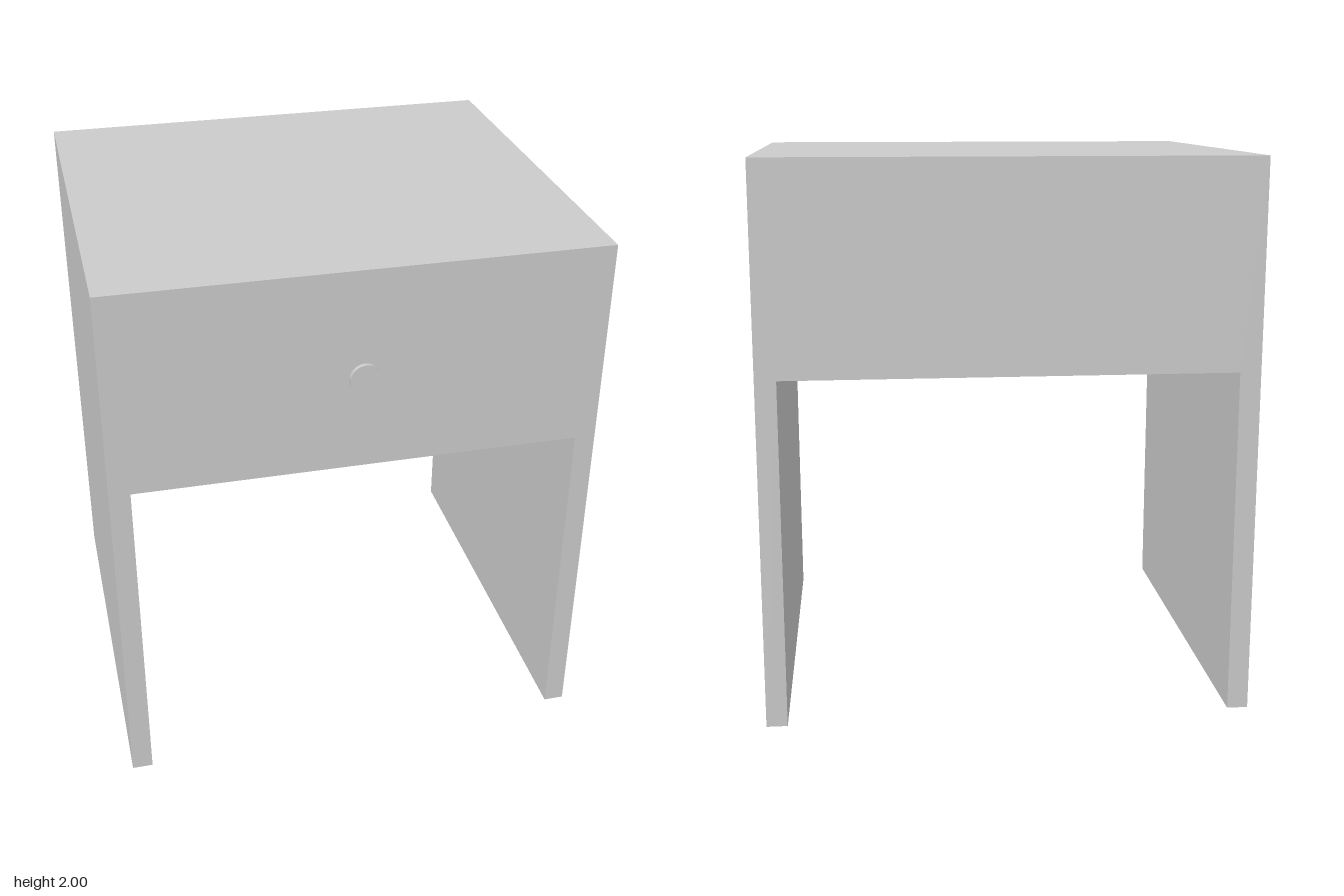
import * as THREE from 'three';

const material = new THREE.MeshStandardMaterial({ color: 0xcccccc });

// Cylinder lying along z, from z0 to z1
function rod(name, radius, z0, z1, y) {
  const geometry = new THREE.CylinderGeometry(radius, radius, z1 - z0, 40);
  geometry.rotateX(Math.PI / 2);
  const mesh = new THREE.Mesh(geometry, material);
  mesh.name = name;
  mesh.position.set(0, y, (z0 + z1) / 2);
  return mesh;
}

export function createModel() {
  const group = new THREE.Group();
  group.name = 'nightstand';

  const halfWidth = 0.875, innerHalf = 0.8, height = 2, underside = 1.255;
  const back = -0.8, front = 0.745;

  // Body: drawer box and two side panels as one arch-shaped outline
  const outline = new THREE.Shape([
    [-halfWidth, 0], [-innerHalf, 0], [-innerHalf, underside], [innerHalf, underside],
    [innerHalf, 0], [halfWidth, 0], [halfWidth, height], [-halfWidth, height],
  ].map(([x, y]) => new THREE.Vector2(x, y)));
  const bodyGeometry = new THREE.ExtrudeGeometry(outline, { depth: front - back, bevelEnabled: false });
  bodyGeometry.translate(0, 0, back);
  const body = new THREE.Mesh(bodyGeometry, material);
  body.name = 'body';
  group.add(body);

  // Drawer knob: thin stem with a flat round disc
  const knob = new THREE.Group();
  knob.name = 'knob';
  knob.add(rod('knobStem', 0.013, front, 0.786, 1.628));
  knob.add(rod('knobDisc', 0.053, 0.785, 0.8, 1.628));
  group.add(knob);

  return group;
}
